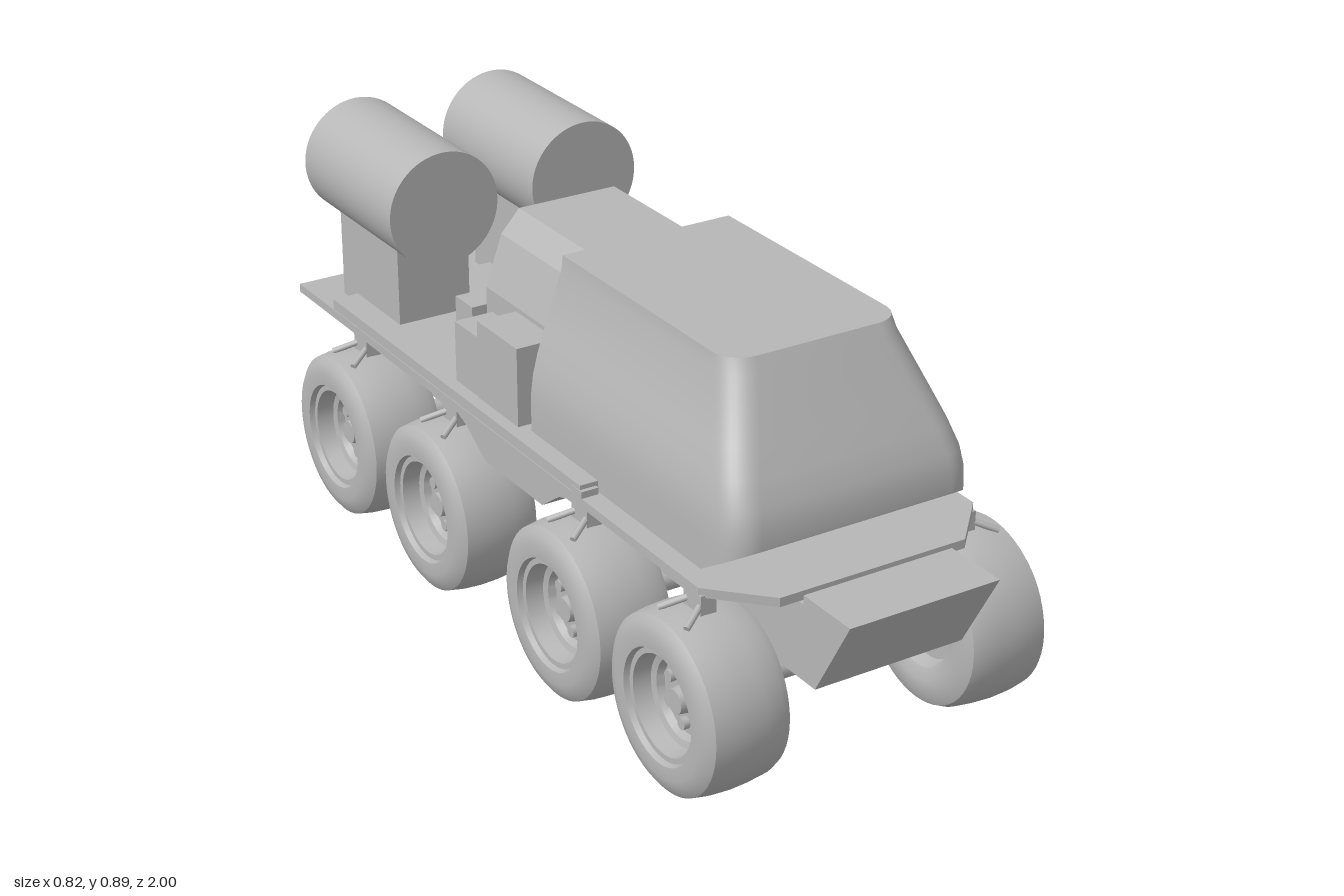
import * as THREE from 'three';
import { toCreasedNormals } from 'three/addons/utils/BufferGeometryUtils.js';

const grey = new THREE.MeshStandardMaterial({ color: 0xb6b6b6 });
grey.name = 'plain grey';

export function createModel() {
  const model = new THREE.Group();
  model.name = 'eightWheelRover';

  function add(name, geometry, parent = model) {
    const mesh = new THREE.Mesh(geometry, grey);
    mesh.name = name;
    parent.add(mesh);
    return mesh;
  }
  // Box given by its limits on each axis
  function box(name, x0, x1, y0, y1, z0, z1) {
    const g = new THREE.BoxGeometry(x1 - x0, y1 - y0, z1 - z0);
    return add(name, g.translate((x0 + x1) / 2, (y0 + y1) / 2, (z0 + z1) / 2));
  }
  const outline = pts => new THREE.Shape(pts.map(p => new THREE.Vector2(...p)));
  // Side profile of [z, y] points, extruded across the width
  function sideProfile(name, pts, halfWidth) {
    const g = new THREE.ExtrudeGeometry(outline(pts), { depth: halfWidth * 2, bevelEnabled: false });
    return add(name, g.translate(0, 0, -halfWidth).rotateY(-Math.PI / 2));
  }
  // Limb between two points
  function limb(name, a, b, r0, r1, parent) {
    const p = new THREE.Vector3(...a), q = new THREE.Vector3(...b);
    const mesh = add(name, new THREE.CylinderGeometry(r1, r0, p.distanceTo(q), 10), parent);
    mesh.position.copy(p).lerp(q, 0.5);
    mesh.quaternion.setFromUnitVectors(new THREE.Vector3(0, 1, 0), q.sub(p).normalize());
    return mesh;
  }

  // Hull with raked nose and tail
  sideProfile('hull', [[1, 0.445], [0.85, 0.445], [0.85, 0.425], [-0.935, 0.425],
    [-0.935, 0.385], [-0.81, 0.26], [0.895, 0.26]], 0.176);

  // Lower deck with clipped front corners
  const deck = new THREE.ExtrudeGeometry(
    outline([[-0.33, -1], [0.33, -1], [0.33, 0.72], [0.22, 0.835], [-0.22, 0.835], [-0.33, 0.72]]),
    { depth: 0.02, bevelEnabled: false });
  add('lowerDeck', deck.rotateX(Math.PI / 2).translate(0, 0.445, 0));

  // Raised cargo deck and the dipped sill between the middle wheels
  box('cargoDeck', -0.328, 0.328, 0.445, 0.47, -0.825, 0.28);
  sideProfile('middleSill', [[0.25, 0.425], [0.2, 0.41], [0.13, 0.36], [-0.11, 0.36],
    [-0.19, 0.41], [-0.23, 0.425]], 0.33);

  add('cabin', cabinGeometry());

  // Faceted module behind the cabin
  const module = new THREE.ExtrudeGeometry(
    outline([[-0.205, 0.46], [0.205, 0.46], [0.205, 0.66], [0.165, 0.775], [0.12, 0.825],
      [-0.12, 0.825], [-0.165, 0.775], [-0.205, 0.66]]),
    { depth: 0.335, bevelEnabled: false });
  add('rearModule', module.translate(0, 0, -0.315));

  for (const s of [-1, 1]) {
    const mirrored = (name, x0, x1, ...rest) =>
      box(name, Math.min(s * x0, s * x1), Math.max(s * x0, s * x1), ...rest);
    mirrored('tallLocker', 0.2, 0.3, 0.465, 0.65, -0.187, -0.018);
    mirrored('lowLocker', 0.2, 0.298, 0.465, 0.61, -0.29, -0.187);
    mirrored('rearLocker', 0.07, 0.237, 0.465, 0.615, -0.398, -0.323);

    // Tank on its pedestal
    mirrored('tankPedestal', 0.085, 0.265, 0.445, 0.66, -0.895, -0.615);
    const tank = add('tank', new THREE.CylinderGeometry(0.135, 0.135, 0.42, 64));
    tank.rotation.x = Math.PI / 2;
    tank.position.set(s * 0.18, 0.755, -0.755);

    // Small bracket beside the cabin
    const bracket = mirrored('sideBracket', 0.29, 0.33, 0.44, 0.46, 0.25, 0.29);
    bracket.name = 'sideBracket';
  }

  // Wheels
  const tyre = tyreGeometry();
  for (const z of [0.7, 0.28, -0.265, -0.69]) {
    for (const s of [-1, 1]) {
      const wheel = new THREE.Group();
      wheel.name = 'wheel';
      wheel.position.set(s * 0.31, 0.195, z);
      wheel.rotation.z = -s * Math.PI / 2;
      model.add(wheel);
      add('tyreAndRim', tyre, wheel);
      add('hub', new THREE.CylinderGeometry(0.026, 0.03, 0.03, 24), wheel).position.y = 0.045;
      for (let i = 0; i < 6; i++) {
        const a = i * Math.PI / 3;
        const lug = add('wheelLug', new THREE.CylinderGeometry(0.013, 0.013, 0.016, 12), wheel);
        lug.position.set(0.056 * Math.cos(a), 0.036, 0.056 * Math.sin(a));
      }
      // Mudguard stay over the tyre
      for (const e of [-1, 1]) {
        limb('guardStay', [s * 0.315, 0.41, z + e * 0.015], [s * 0.375, 0.383, z + e * 0.05], 0.007, 0.007);
      }
      box('guardMount', s * 0.312 - 0.018, s * 0.312 + 0.018, 0.385, 0.43, z - 0.03, z + 0.03);
    }
    const axle = add('axle', new THREE.CylinderGeometry(0.025, 0.025, 0.5, 20));
    axle.rotation.z = Math.PI / 2;
    axle.position.set(0, 0.28 - 0.085, z);
  }

  // Standing crew figure
  const crew = new THREE.Group();
  crew.name = 'crewFigure';
  crew.position.set(-0.005, 0.47, -0.41);
  model.add(crew);
  add('head', new THREE.SphereGeometry(0.014, 16, 12), crew).position.set(0, 0.211, 0.005);
  limb('neck', [0, 0.185, 0.003], [0, 0.205, 0.005], 0.007, 0.006, crew);
  limb('torso', [0, 0.115, -0.002], [0, 0.188, 0.002], 0.017, 0.023, crew);
  for (const s of [-1, 1]) {
    limb('leg', [0.004 * s, 0, -0.008 + 0.012 * s], [0, 0.12, 0.009 * s], 0.007, 0.012, crew);
    limb('foot', [-0.008, 0.004, -0.008 + 0.012 * s], [0.018, 0.004, -0.008 + 0.012 * s], 0.006, 0.005, crew);
    limb('upperArm', [0, 0.182, 0.018 * s], [0.003, 0.143, 0.043 * s], 0.008, 0.006, crew);
    limb('forearm', [0.003, 0.143, 0.043 * s], [0.012, 0.11, 0.055 * s], 0.006, 0.004, crew);
  }
  return model;
}

// Cabin: rounded-front rings stacked upward, with a sloping chin cut
function cabinGeometry() {
  const back = 0.012;
  // y, half width, front z, corner radius
  const rings = [[0.445, 0.285, 0.78, 0.06], [0.525, 0.285, 0.78, 0.06], [0.56, 0.284, 0.778, 0.06],
    [0.6, 0.279, 0.768, 0.06], [0.65, 0.266, 0.742, 0.06], [0.7, 0.249, 0.714, 0.06],
    [0.82, 0.207, 0.647, 0.06], [0.85, 0.204, 0.63, 0.06]];
  const loops = rings.map(([y, w, f, r]) => {
    const half = [[w, back], [w, Math.min(0.66, f - r - 0.02)]];
    for (let k = 0; k <= 8; k++) {
      const a = k / 8 * Math.PI / 2;
      half.push([w - r + r * Math.cos(a), f - r + r * Math.sin(a)]);
    }
    const flat = [...half.map(([x, z]) => [-x, z]), ...half.reverse()];
    return flat.map(([x, z]) => [x, Math.max(y, 0.445 + (z - 0.66) * 0.625), z]);
  });
  const pos = [];
  const quad = (a, b, c, d) => pos.push(...a, ...b, ...c, ...a, ...c, ...d);
  const n = loops[0].length, low = loops[0], top = loops[loops.length - 1];
  for (let j = 0; j < loops.length - 1; j++) {
    const p = loops[j], q = loops[j + 1];
    for (let i = 0; i < n - 1; i++) quad(p[i], p[i + 1], q[i + 1], q[i]);
    quad(p[0], q[0], q[n - 1], p[n - 1]);
  }
  for (let i = 0; i < n / 2 - 1; i++) {
    quad(top[i], top[i + 1], top[n - 2 - i], top[n - 1 - i]);
    quad(low[n - 1 - i], low[n - 2 - i], low[i + 1], low[i]);
  }
  const g = new THREE.BufferGeometry();
  g.setAttribute('position', new THREE.Float32BufferAttribute(pos, 3));
  return toCreasedNormals(g, 0.4);
}

// Tyre and dished rim, turned from the inner face to the outer face
function tyreGeometry() {
  const profile = [[0, -0.06], [0.09, -0.06], [0.1, -0.09], [0.125, -0.1], [0.16, -0.097], [0.18, -0.088],
    [0.188, -0.07], [0.193, -0.03], [0.195, 0.01], [0.193, 0.05], [0.187, 0.085], [0.172, 0.096],
    [0.15, 0.102], [0.122, 0.1], [0.118, 0.088], [0.106, 0.088], [0.1, 0.05], [0.086, 0.046],
    [0.08, 0.03], [0, 0.03]].map(p => new THREE.Vector2(...p));
  return toCreasedNormals(new THREE.LatheGeometry(profile, 56), 0.6);
}
